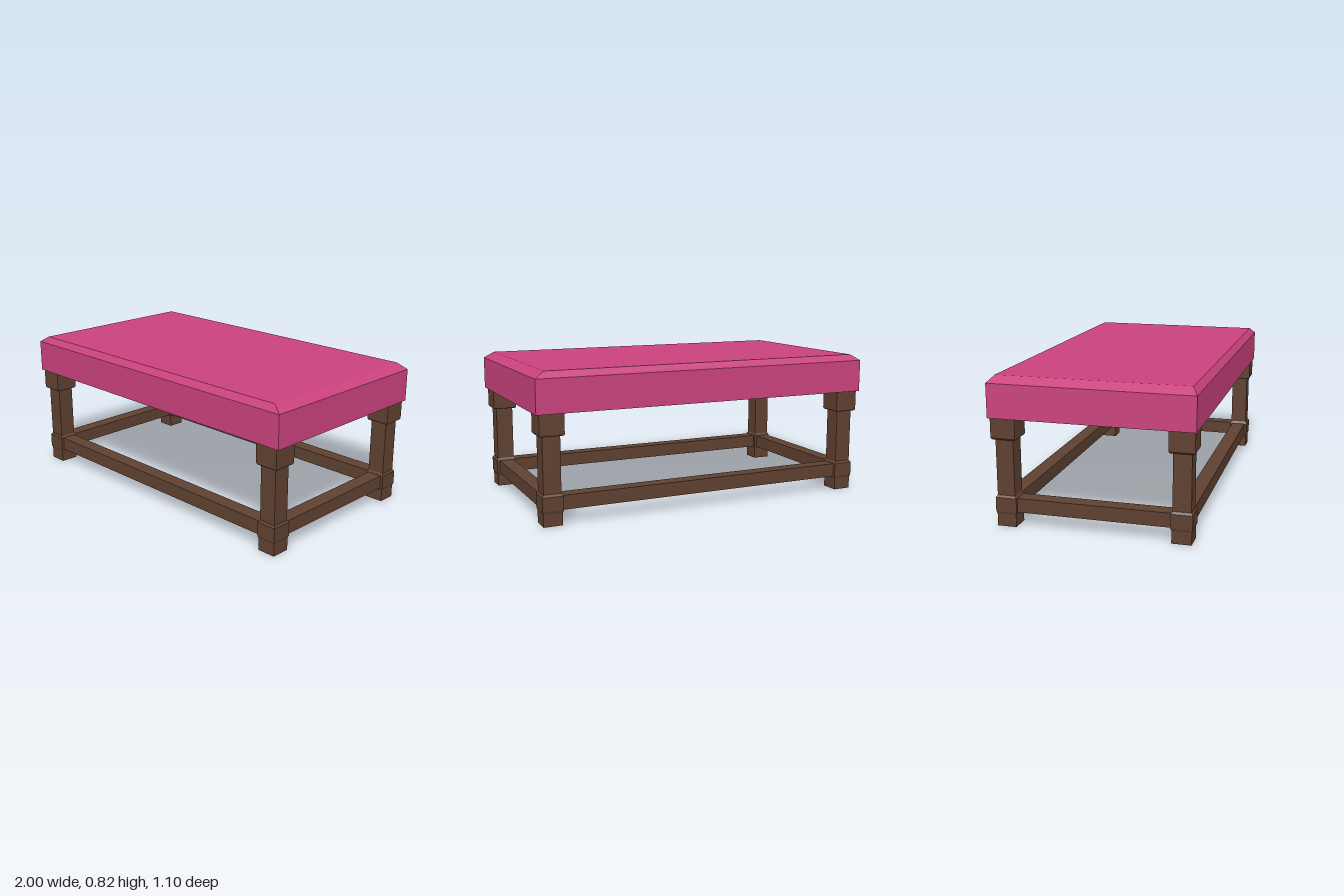
import * as THREE from 'three';

const fabric = new THREE.MeshStandardMaterial({ color: 0xc9427c, flatShading: true });
const wood = new THREE.MeshStandardMaterial({ color: 0x5e4030, flatShading: true });

// Closed solid through rectangular sections [y, halfWidth, halfDepth], bottom to top
function loft(sections) {
  const pos = [], idx = [];
  for (const [y, hx, hz] of sections) pos.push(hx, y, hz, hx, y, -hz, -hx, y, -hz, -hx, y, hz);
  const last = (sections.length - 1) * 4;
  for (let r = 0; r < last; r += 4) {
    for (let i = 0; i < 4; i++) {
      const a = r + i, b = r + (i + 1) % 4;
      idx.push(a, b, b + 4, a, b + 4, a + 4);
    }
  }
  idx.push(0, 2, 1, 0, 3, 2, last, last + 1, last + 2, last, last + 2, last + 3);
  const geo = new THREE.BufferGeometry();
  geo.setAttribute('position', new THREE.Float32BufferAttribute(pos, 3));
  geo.setIndex(idx);
  const flat = geo.toNonIndexed();
  flat.computeVertexNormals();
  return flat;
}

function addMesh(parent, name, geo, material, x = 0, y = 0, z = 0) {
  const mesh = new THREE.Mesh(geo, material);
  mesh.name = name;
  mesh.position.set(x, y, z);
  parent.add(mesh);
}

export function createModel() {
  const group = new THREE.Group();
  group.name = 'footstool';
  const legX = 0.915, legZ = 0.476;

  // Padded seat with a bevelled top edge
  addMesh(group, 'cushion', loft([[0.6, 1, 0.552], [0.785, 1, 0.552], [0.82, 0.945, 0.522]]), fabric);

  // Square legs: foot, collar at the stretchers, slim shaft, top block
  const profile = [
    [0, 0.053], [0.07, 0.053], [0.082, 0.058], [0.16, 0.058], [0.173, 0.049],
    [0.482, 0.049], [0.482, 0.063], [0.49, 0.068], [0.6, 0.068],
  ];
  const legGeo = loft(profile.map(([y, h]) => [y, h, h]));
  for (const sx of [1, -1]) {
    for (const sz of [1, -1]) {
      addMesh(group, (sz > 0 ? 'front' : 'back') + (sx > 0 ? 'Left' : 'Right') + 'Leg',
        legGeo, wood, sx * legX, 0, sz * legZ);
    }
  }

  // Stretchers joining the legs
  const longBar = new THREE.BoxGeometry(2 * legX, 0.078, 0.085);
  const shortBar = new THREE.BoxGeometry(0.085, 0.078, 2 * legZ);
  for (const s of [1, -1]) {
    addMesh(group, s > 0 ? 'frontStretcher' : 'backStretcher', longBar, wood, 0, 0.12, s * legZ);
    addMesh(group, s > 0 ? 'leftStretcher' : 'rightStretcher', shortBar, wood, s * legX, 0.12, 0);
  }
  return group;
}
